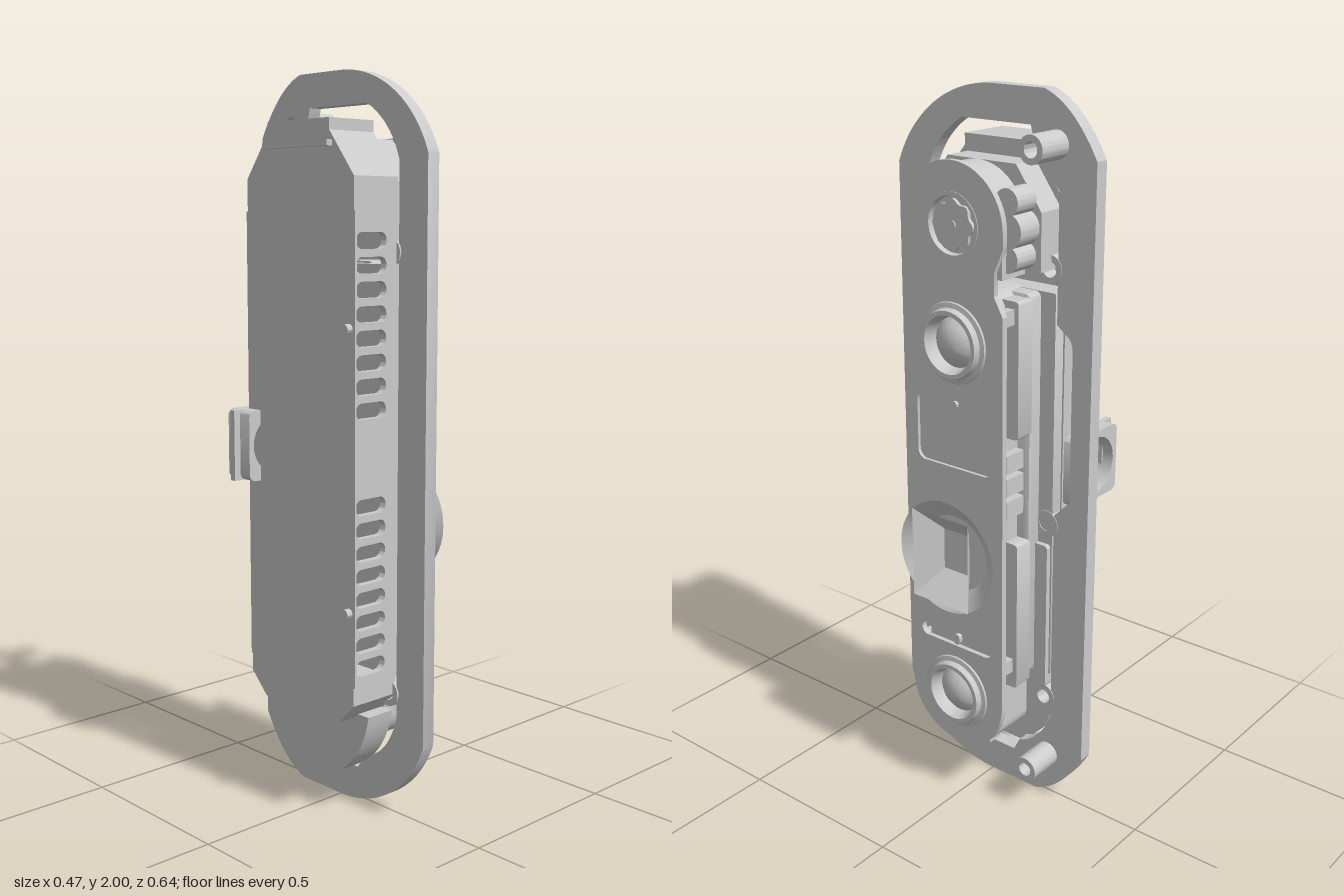
import * as THREE from 'three';
import { toCreasedNormals } from 'three/addons/utils/BufferGeometryUtils.js';

const grey = new THREE.MeshStandardMaterial({ color: 0xcccccc });
const thin = new THREE.MeshStandardMaterial({ color: 0xcccccc, side: THREE.DoubleSide });
const CZ = 0.01; // lens column sits slightly toward the front

export function createModel() {
  const root = new THREE.Group();

  const add = (name, geo, mat = grey) => {
    const m = new THREE.Mesh(toCreasedNormals(geo, 0.5), mat);
    m.name = name;
    root.add(m);
    return m;
  };
  const box = (name, x0, x1, y0, y1, z0, z1) => {
    const g = new THREE.BoxGeometry(x1 - x0, y1 - y0, z1 - z0);
    return add(name, g.translate((x0 + x1) / 2, (y0 + y1) / 2, (z0 + z1) / 2));
  };
  // Profiles are drawn in (u, y) with u = -z, then given thickness along x
  const slab = (name, shape, x0, x1, bevel = 0) => {
    const g = new THREE.ExtrudeGeometry(shape, {
      depth: x1 - x0 - 2 * bevel, curveSegments: 20, bevelEnabled: bevel > 0,
      bevelSize: bevel, bevelThickness: bevel, bevelOffset: -bevel, bevelSegments: 2,
    });
    return add(name, g.translate(0, 0, x0 + bevel).rotateY(Math.PI / 2));
  };
  const poly = (pts) => new THREE.Shape(pts.map((p) => new THREE.Vector2(p[0], p[1])));
  const circle = (u, y, r, Type = THREE.Path) => new Type().absarc(u, y, r, 0, Math.PI * 2);
  const rounded = (u0, u1, y0, y1, r, Type = THREE.Shape) => {
    const s = new Type();
    s.absarc(u1 - r, y0 + r, r, -Math.PI / 2, 0);
    s.absarc(u1 - r, y1 - r, r, 0, Math.PI / 2);
    s.absarc(u0 + r, y1 - r, r, Math.PI / 2, Math.PI);
    s.absarc(u0 + r, y0 + r, r, Math.PI, Math.PI * 1.5);
    s.closePath();
    return s;
  };
  // Turned part around an x axis; profile is [radius, x]
  const turned = (name, pts, y, z, mat = thin) => {
    const g = new THREE.LatheGeometry(pts.map((p) => new THREE.Vector2(p[0], p[1])), 40);
    return add(name, g.rotateZ(-Math.PI / 2).translate(0, y, z), mat);
  };

  // Mounting plate with central opening, side slot and screw holes
  const posts = [1.87, 0.135];
  const plate = new THREE.Shape();
  plate.moveTo(0.16, 2).lineTo(0, 2);
  plate.absarc(0, 1.66, 0.34, Math.PI / 2, Math.PI - 0.35);
  plate.lineTo(-0.32, 0.225);
  plate.absarc(0, 0.34, 0.34, Math.PI + 0.35, Math.PI * 1.5);
  plate.lineTo(0.16, 0);
  plate.quadraticCurveTo(0.25, 0.03, 0.32, 0.16);
  plate.lineTo(0.32, 1.84);
  plate.quadraticCurveTo(0.25, 1.97, 0.16, 2);
  const opening = new THREE.Path();
  opening.moveTo(-0.1, 1.91).lineTo(0.12, 1.91);
  opening.quadraticCurveTo(0.14, 1.83, 0.21, 1.76);
  opening.lineTo(0.21, 1.42).lineTo(0.235, 1.40);
  opening.quadraticCurveTo(0.26, 1.39, 0.26, 1.35);
  opening.lineTo(0.26, 0.94).lineTo(0.21, 0.89).lineTo(0.21, 0.26);
  opening.quadraticCurveTo(0.17, 0.16, 0.1, 0.14);
  opening.lineTo(0.08, 0.1).lineTo(-0.07, 0.1).lineTo(-0.1, 0.14);
  opening.quadraticCurveTo(-0.19, 0.17, -0.22, 0.28);
  opening.lineTo(-0.22, 1.76);
  opening.quadraticCurveTo(-0.19, 1.86, -0.1, 1.91);
  plate.holes.push(opening, ...posts.map((y) => circle(0.2, y, 0.02)));
  slab('mountingPlate', plate, -0.025, 0.015);

  // Hollow screw posts
  for (const y of posts) {
    const post = circle(0.2, y, 0.036, THREE.Shape);
    post.holes.push(circle(0.2, y, 0.02));
    slab('screwPost', post, 0.015, 0.12);
  }

  // Rear housing: solid ends, thin back and vented side walls
  slab('housingTop', poly([[-0.21, 1.63], [0.205, 1.63], [0.205, 1.72], [0.12, 1.835],
    [0.12, 1.865], [-0.12, 1.865], [-0.12, 1.835], [-0.21, 1.72]]), -0.175, -0.02);
  slab('housingBottom', poly([[-0.21, 0.41], [-0.21, 0.35], [-0.15, 0.29], [0.145, 0.29],
    [0.205, 0.35], [0.205, 0.41]]), -0.175, -0.02);
  slab('housingBack', rounded(-0.205, 0.2, 0.4, 1.64, 0.005), -0.175, -0.16);
  slab('housingFront', rounded(-0.21, 0.205, 0.4, 1.5, 0.005), -0.05, 0.015);

  const wall = new THREE.Shape();
  wall.moveTo(-0.175, 0.4).lineTo(-0.02, 0.4).lineTo(-0.02, 1.635).lineTo(-0.175, 1.635);
  for (const start of [0.45, 1.13]) {
    for (let i = 0; i < 8; i++) {
      const y = start + i * 0.0615;
      wall.holes.push(rounded(-0.172, -0.065, y - 0.021, y + 0.021, 0.0205, THREE.Path));
    }
  }
  for (const z of [0.195, -0.21]) {
    const g = new THREE.ExtrudeGeometry(wall, { depth: 0.02, bevelEnabled: false, curveSegments: 8 });
    add('ventedWall', g.translate(0, 0, z));
  }

  // Rounded chin below the housing
  const chin = new THREE.Shape();
  chin.moveTo(0.2, 0.3).lineTo(-0.2, 0.3);
  chin.bezierCurveTo(-0.18, 0.19, -0.12, 0.14, -0.08, 0.115);
  chin.lineTo(0.08, 0.115);
  chin.bezierCurveTo(0.12, 0.14, 0.18, 0.19, 0.2, 0.3);
  slab('housingChin', chin, -0.11, -0.02);

  // Rear rib and small locating studs
  box('rearRib', -0.193, -0.17, 1.795, 1.81, -0.12, 0.13);
  for (const y of [1.34, 0.6]) slab('rearStud', circle(-0.193, y, 0.013, THREE.Shape), -0.193, -0.17);

  // Cable sleeve with its bore facing the back
  const sleeve = rounded(-0.215, -0.025, 0.905, 1.1, 0.02);
  sleeve.holes.push(circle(-0.12, 1.0025, 0.08));
  const sleeveGeo = new THREE.ExtrudeGeometry(sleeve, { depth: 0.09, bevelEnabled: false, curveSegments: 20 });
  add('cableSleeve', sleeveGeo.translate(0, 0, -0.25));
  box('sleeveFlange', -0.235, -0.195, 0.905, 1.1, -0.217, -0.2);

  // Front body layers
  slab('frontBase', rounded(-0.2, 0.16, 0.4, 1.5, 0.02), 0.01, 0.06, 0.008);
  slab('innerBody', rounded(-0.115, 0.12, 0.2, 1.505, 0.05), 0.01, 0.152);
  slab('leftRail', rounded(-0.17, -0.1, 0.38, 1.49, 0.01), 0.05, 0.11);
  slab('rightRailUpper', rounded(0.1, 0.16, 1.12, 1.49, 0.01), 0.05, 0.11);
  slab('rightRailLower', rounded(0.1, 0.16, 0.38, 0.82, 0.01), 0.05, 0.11);
  slab('sidePanel', rounded(0.15, 0.2, 0.36, 0.8, 0.01), 0.0, 0.03);

  // Stacked ports in the gap of the right rail
  for (let i = 0; i < 3; i++) {
    const y = 0.9 + i * 0.065;
    box('sidePort', 0.065, 0.135, y, y + 0.05, -0.145, -0.11);
  }

  // Upper module with knob lobe
  const cap = new THREE.Shape();
  cap.moveTo(-0.16, 1.55).lineTo(0.14, 1.55).lineTo(0.14, 1.67);
  cap.absarc(-CZ, 1.67, 0.15, 0, Math.PI);
  slab('upperModule', cap, 0.06, 0.152);
  slab('upperModuleBase', poly([[-0.19, 1.56], [0.19, 1.56], [0.19, 1.71], [0.11, 1.82],
    [-0.11, 1.82], [-0.19, 1.71]]), -0.02, 0.06);
  for (const y of [1.6, 1.67, 1.74]) {
    slab('knobLobe', circle(0.14, y, y === 1.67 ? 0.045 : 0.035, THREE.Shape), 0.06, 0.135);
  }

  // Screw bosses on the plate and clips beside the face
  for (const [u, y] of [[-0.19, 1.53], [0.185, 1.56], [0.185, 0.86], [-0.19, 0.35], [0.185, 0.32]]) {
    const boss = circle(u, y, 0.038, THREE.Shape);
    boss.holes.push(circle(u, y, 0.021));
    slab('screwBoss', boss, -0.03, 0.017);
  }
  for (const y of [0.45, 1.45]) {
    for (const z of [-0.135, 0.145]) box('clip', 0.105, 0.152, y - 0.02, y + 0.02, z - 0.012, z + 0.012);
  }

  // Face plate: long capsule with notches, windows and a horn opening
  const U = -CZ, R = 0.163;
  const face = new THREE.Shape();
  face.absarc(U, 0.335, R, Math.PI, Math.PI * 2);
  face.lineTo(U + R, 1.46).lineTo(U + 0.135, 1.51).lineTo(U + 0.135, 1.57).lineTo(U + R, 1.63);
  face.absarc(U, 1.668, R, 0, Math.PI);
  face.lineTo(U - R, 1.63).lineTo(U - 0.135, 1.57).lineTo(U - 0.135, 1.51).lineTo(U - R, 1.46);
  face.closePath();
  face.holes.push(rounded(-0.137, 0.117, 1.02, 1.21, 0.025, THREE.Path),
    rounded(-0.137, 0.115, 0.48, 0.523, 0.021, THREE.Path),
    circle(U, 1.67, 0.085), circle(U, 1.365, 0.07), circle(U, 0.335, 0.07));
  slab('facePlate', face, 0.148, 0.165);
  slab('windowPane', rounded(-0.14, 0.12, 1.01, 1.22, 0.025), 0.145, 0.156);
  slab('windowDot', circle(U, 1.197, 0.01, THREE.Shape), 0.15, 0.165);
  slab('slotButton', rounded(U - 0.01, U + 0.01, 0.485, 0.515, 0.008), 0.15, 0.165);

  // Two domed lenses in raised rims
  for (const y of [1.365, 0.335]) {
    turned('lensRim', [[0.11, 0.164], [0.108, 0.17], [0.095, 0.172], [0.09, 0.188], [0.078, 0.188],
      [0.07, 0.168], [0.068, 0.15]], y, CZ);
    turned('lensDome', [[0.07, 0.15], [0.06, 0.158], [0.048, 0.17], [0.028, 0.18], [0, 0.184]], y, CZ);
  }

  // Fluted dial at the top
  turned('dialRim', [[0.085, 0.15], [0.085, 0.167], [0.075, 0.167], [0.072, 0.15]], 1.67, CZ);
  const dial = new THREE.Shape();
  for (let i = 0; i < 64; i++) {
    const a = (i / 64) * Math.PI * 2;
    const r = 0.061 + 0.005 * Math.cos(8 * a);
    dial[i ? 'lineTo' : 'moveTo'](U + r * Math.cos(a), 1.67 + r * Math.sin(a));
  }
  slab('dial', dial, 0.148, 0.162);
  slab('dialPin', circle(U, 1.67, 0.012, THREE.Shape), 0.16, 0.166);

  // Round flared horn and the open pyramid inside it
  turned('roundHorn', [[0.105, 0.162], [0.163, 0.205]], 0.77, CZ);
  const pyramid = new THREE.CylinderGeometry(Math.SQRT2, Math.SQRT2 * 0.34, 0.085, 4, 1, true);
  pyramid.rotateY(Math.PI / 4).rotateZ(-Math.PI / 2).scale(1, 0.13, 0.097);
  add('pyramidHorn', pyramid.translate(0.1925, 0.773, 0.005), thin);

  // Small foot under the inner body
  box('lowerTab', 0.01, 0.06, 0.12, 0.19, -0.025, 0.025);
  slab('lowerModule', rounded(-0.13, 0.11, 0.175, 0.42, 0.08), 0.02, 0.152);
  return root;
}
